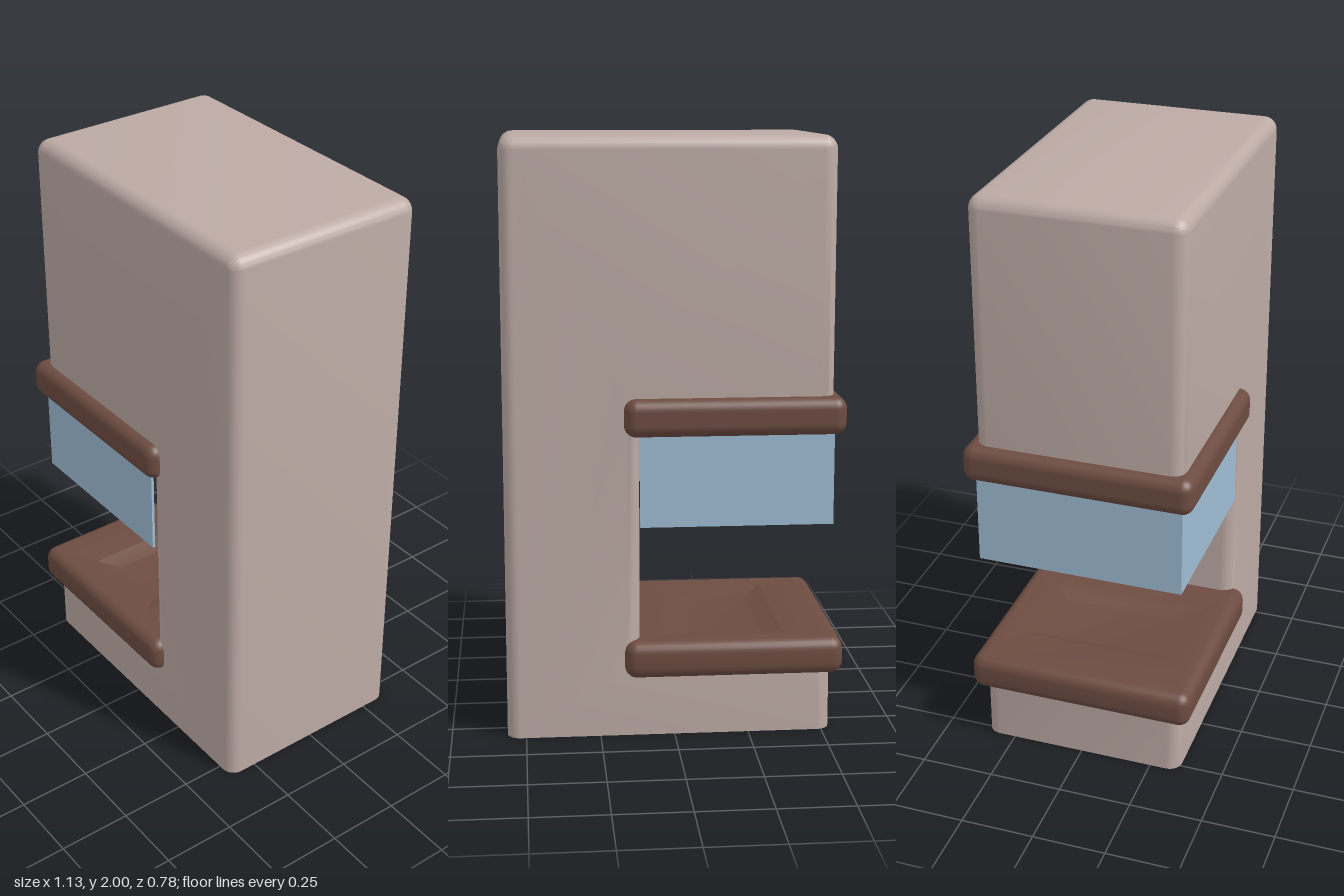
import * as THREE from 'three';
import { toCreasedNormals } from 'three/addons/utils/BufferGeometryUtils.js';
import { RoundedBoxGeometry } from 'three/addons/geometries/RoundedBoxGeometry.js';

const paint = (name, color) => {
  const m = new THREE.MeshStandardMaterial({ color });
  m.name = name;
  return m;
};

// C-shaped housing: rounded everywhere except the flat base
function bodyGeometry() {
  const L = -0.53, R = 0.563, N = 0.115, T = 2, B = -0.15, c = 0.047, r = 0.045, D = 0.353;
  const s = new THREE.Shape();
  s.moveTo(L, B);
  s.lineTo(R, B);
  s.lineTo(R, T - c);
  s.absarc(R - c, T - c, c, 0, Math.PI / 2);
  s.lineTo(L + c, T);
  s.absarc(L + c, T - c, c, Math.PI / 2, Math.PI);
  s.lineTo(L, 1.09);
  s.lineTo(N, 1.09);
  s.lineTo(N, 0.27);
  s.lineTo(L, 0.27);
  s.closePath();
  const g = new THREE.ExtrudeGeometry(s, {
    depth: 2 * (D - r), curveSegments: 6, bevelEnabled: true,
    bevelThickness: r, bevelSize: r, bevelOffset: -r, bevelSegments: 6,
  });
  g.translate(0, 0, -(D - r));
  // cut off level with the ground
  const p = g.attributes.position;
  for (let i = 0; i < p.count; i++) if (p.getY(i) < 0) p.setY(i, 0);
  return toCreasedNormals(g, 0.6);
}

// Closed loft through rounded rectangles [halfX, halfZ, cornerRadius, y]
function loft(rings) {
  const n = 6, count = 4 * (n + 1), pos = [], idx = [];
  for (const [hx, hz, r, y] of rings) {
    for (let k = 0; k < 4; k++) {
      const sx = k === 0 || k === 3 ? 1 : -1, sz = k < 2 ? 1 : -1;
      for (let i = 0; i <= n; i++) {
        const a = (k + i / n) * Math.PI / 2;
        pos.push(sx * (hx - r) + r * Math.cos(a), y, sz * (hz - r) + r * Math.sin(a));
      }
    }
  }
  for (let j = 0; j < rings.length - 1; j++) {
    for (let i = 0; i < count; i++) {
      const a = j * count + i, b = j * count + (i + 1) % count;
      idx.push(a, a + count, b, b, a + count, b + count);
    }
  }
  const top = (rings.length - 1) * count;
  for (let i = 1; i < count - 1; i++) {
    idx.push(0, i, i + 1);
    idx.push(top, top + i + 1, top + i);
  }
  const g = new THREE.BufferGeometry();
  g.setAttribute('position', new THREE.Float32BufferAttribute(pos, 3));
  g.setIndex(idx);
  return toCreasedNormals(g, 0.35);
}

// Rounded slab with a shallow sloping recess in its top
function trayGeometry(w, h, d, r) {
  const rings = [], steps = 6;
  for (const [y0, start] of [[-h / 2 + r, -Math.PI / 2], [h / 2 - r, 0]]) {
    for (let i = 0; i <= steps; i++) {
      const a = start + (i / steps) * Math.PI / 2, inset = r * (1 - Math.cos(a));
      rings.push([w / 2 - inset, d / 2 - inset, Math.max(r - inset, 0.001), y0 + r * Math.sin(a)]);
    }
  }
  rings.push([0.17, 0.28, 0.001, h / 2], [0.11, 0.21, 0.001, h / 2 - 0.025]);
  return loft(rings);
}

export function createModel() {
  const model = new THREE.Group();
  model.name = 'dispenser';
  const housing = paint('warm taupe', 0xbcaaa4);
  const trim = paint('dark brown', 0x6d4c41);
  const glass = paint('pale blue', 0x9fbcd4);

  const add = (name, geometry, material, x = 0, y = 0, z = 0) => {
    const m = new THREE.Mesh(geometry, material);
    m.name = name;
    m.position.set(x, y, z);
    model.add(m);
  };

  add('body', bodyGeometry(), housing);

  // ledges wrapped around the top and bottom of the opening
  const w = 0.735, h = 0.127, d = 0.784, cx = -0.2;
  add('upperLedge', new RoundedBoxGeometry(w, h, d, 6, 0.04), trim, cx, 1.089, 0);
  add('lowerTray', trayGeometry(w, h, d, 0.04), trim, cx, 0.268, 0);

  // three-sided screen hanging below the upper ledge
  const t = 0.01, H = 0.35, y = 0.72 + H / 2;
  for (const side of [1, -1]) {
    add(side > 0 ? 'frontScreen' : 'backScreen',
      new THREE.BoxGeometry(0.645, H, t), glass, -0.2075, y, side * (0.353 - t / 2));
  }
  add('sideScreen', new THREE.BoxGeometry(t, H, 0.706 - 2 * t), glass, -0.53 + t / 2, y, 0);

  return model;
}
